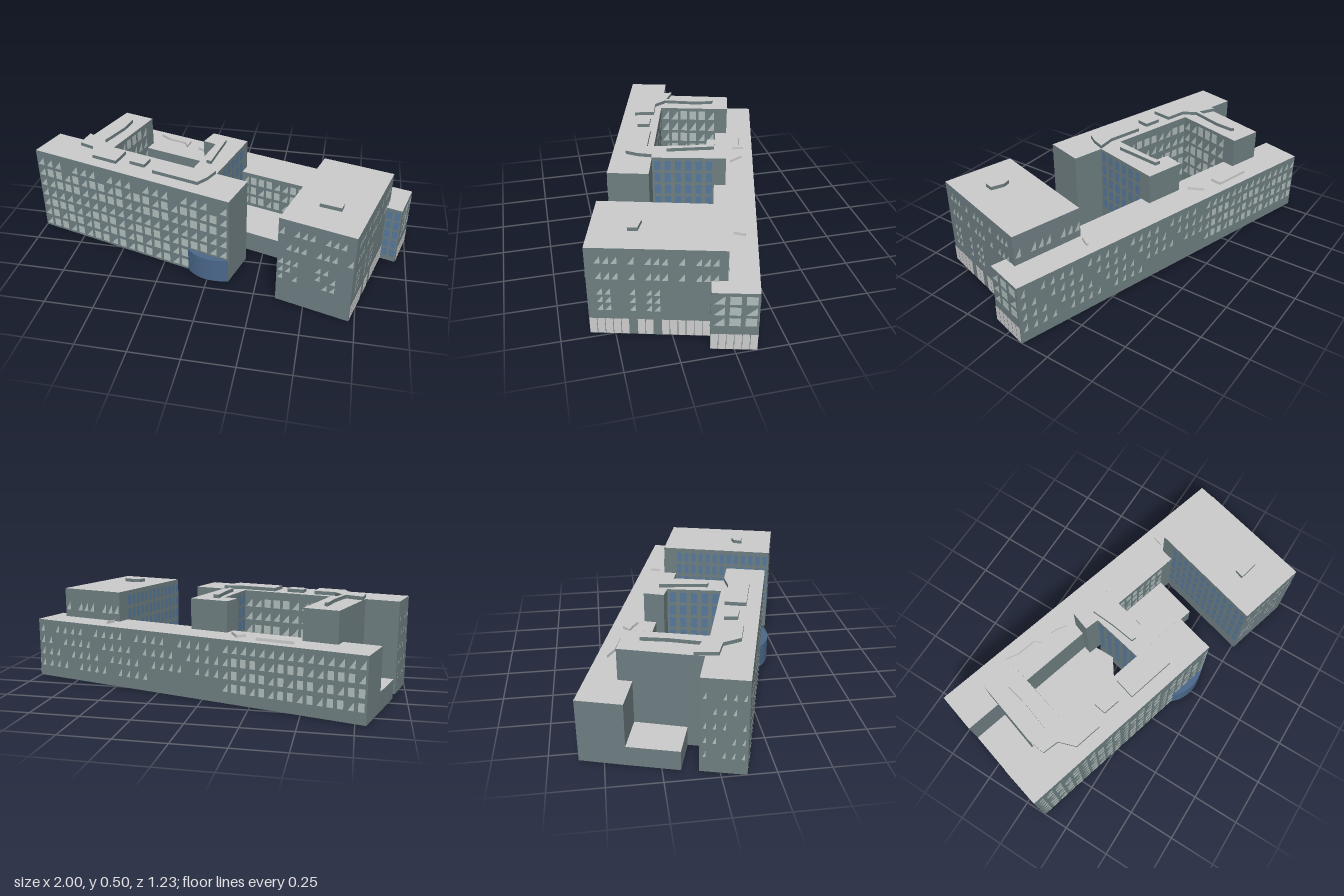
import * as THREE from 'three';

const material = (color) => new THREE.MeshStandardMaterial({ color, side: THREE.DoubleSide, flatShading: true });
const wallMat = material(0x6e7e81);
const roofMat = material(0xcccccc);
const paneMat = material(0xb0bcba);
const shopMat = material(0xcccccc);
const blueMat = material(0x55789c);
const entranceMat = material(0x4a6789);

// Plan outlines are lists of [x, z]
const planShape = (pts) => new THREE.Shape(pts.map(([x, z]) => new THREE.Vector2(x, -z)));

function add(parent, name, geometry, mat) {
  const mesh = new THREE.Mesh(geometry, mat);
  mesh.name = name;
  parent.add(mesh);
}

function prism(parent, name, pts, y0, y1, mat) {
  const g = new THREE.ExtrudeGeometry(planShape(pts), { depth: y1 - y0, bevelEnabled: false });
  add(parent, name, g.rotateX(-Math.PI / 2).translate(0, y0, 0), mat);
}

function roof(parent, name, pts, y) {
  add(parent, name, new THREE.ShapeGeometry(planShape(pts)).rotateX(-Math.PI / 2).translate(0, y, 0), roofMat);
}

function triangles(pos) {
  const g = new THREE.BufferGeometry();
  g.setAttribute('position', new THREE.Float32BufferAttribute(pos, 3));
  g.computeVertexNormals();
  return g;
}

// Upright walls along an open path, listed with the outside on the left-to-right side
function walls(parent, name, y0, y1, pts) {
  const pos = [];
  for (let i = 0; i + 1 < pts.length; i++) {
    const [[ax, az], [bx, bz]] = [pts[i], pts[i + 1]];
    pos.push(ax, y0, az, bx, y0, bz, bx, y1, bz, ax, y0, az, bx, y1, bz, ax, y1, az);
  }
  add(parent, name, triangles(pos), wallMat);
}

// Panes on a wall running from a (left) to b (right) as seen from outside.
// kind(column, row) gives 0 for none, 1 for a rectangle, 2 for a triangle.
function panes(parent, name, a, b, cols, rows, kind, mat = paneMat, fill = 0.7) {
  const dx = b[0] - a[0], dz = b[1] - a[1], len = Math.hypot(dx, dz), off = 0.003;
  const pos = [];
  rows.forEach(([y0, y1], r) => {
    for (let c = 0; c < cols; c++) {
      const k = kind(c, r);
      if (!k) continue;
      const at = (t, y) => [a[0] + dx * t - dz / len * off, y, a[1] + dz * t + dx / len * off];
      const t0 = (c + 0.5 - fill / 2) / cols, t1 = (c + 0.5 + fill / 2) / cols;
      pos.push(...at(t0, y0), ...at(t1, y0), ...at(t1, y1));
      if (k === 1) pos.push(...at(t0, y0), ...at(t1, y1), ...at(t0, y1));
    }
  });
  add(parent, name, triangles(pos), mat);
}

// Evenly spaced storeys
const storeys = (n, from, pitch, h) => Array.from({ length: n }, (_, i) => [from + i * pitch, from + i * pitch + h]);
const all = () => 1;
const mixed = (c, r) => ((c * 7 + r * 5 + c * r) % 5 < 2 ? 2 : 1);
const sparse = (c, r) => ((c * 3 + r) % 4 === 3 ? 0 : 2);

export function createModel() {
  const model = new THREE.Group();
  model.name = 'officeComplex';
  const BACK = 0.32, TALL = 0.48, LINK = 0.11, LOW = 0.1;

  // Plan outlines
  const back = [[-0.8, -0.614], [1, -0.1], [0.945, 0.105], [-0.862, -0.405]];
  const front = [[-0.945, -0.09], [0.168, 0.226], [0.11, 0.43], [-1, 0.115]];
  const tower = [[0.53, -0.085], [0.885, 0.013], [0.72, 0.613], [0.36, 0.512]];
  const legL = [[-0.66, -0.42], [-0.49, -0.37], [-0.597, 0.009], [-0.777, -0.042]];
  const legR = [[-0.1, -0.255], [0.1, -0.197], [0.003, 0.179], [-0.125, 0.143], [-0.065, -0.13], [-0.135, -0.155]];

  // Points where the tower and legs leave the back wing
  const towerL = [0.511, -0.017], towerR = [0.866, 0.083];
  const legLOut = [-0.68, -0.354], legLIn = [-0.508, -0.305];
  const legRIn = [-0.121, -0.196], legROut = [0.085, -0.138];

  // Outlines of the low links
  const terrace = [legLOut, back[3], [-0.93, -0.168], [-0.754, -0.115]];
  const link = [legROut, [0.445, -0.036], [0.375, 0.2], [0.024, 0.1]];
  const court = [legLIn, legRIn, legR[5], [-0.09, -0.143], [-0.09, -0.03], [-0.19, 0.04], [-0.55, -0.06], [-0.551, -0.153]];

  // Back wing, open to the links below their roofs
  walls(model, 'backWingWalls', 0, BACK, [towerR, back[2], back[1], back[0], back[3]]);
  walls(model, 'backWingTerraceWall', LOW, BACK, [back[3], legLOut]);
  walls(model, 'backWingCourtWall', LOW, BACK, [legLIn, legRIn]);
  walls(model, 'backWingLinkWall', LINK, BACK, [legROut, link[1]]);
  walls(model, 'backWingGapWall', 0, BACK, [link[1], towerL]);
  roof(model, 'backWingRoof', back, BACK);

  // Front wing
  walls(model, 'frontWingWalls', 0, TALL, [legL[3], front[0], front[3], front[2], front[1], legR[2]]);
  walls(model, 'frontWingCourtWall', 0, TALL, [legR[3], legL[2]]);
  roof(model, 'frontWingRoof', front, TALL);

  // Tower, its back standing above the back wing
  walls(model, 'towerWalls', 0, TALL, [towerL, tower[3], tower[2], towerR]);
  walls(model, 'towerBackWalls', BACK, TALL, [towerR, tower[1], tower[0], towerL]);
  roof(model, 'towerRoof', tower, TALL);

  // Left leg
  walls(model, 'leftLegBackWalls', BACK, TALL, [legLIn, legL[1], legL[0], legLOut]);
  walls(model, 'leftLegTerraceWall', LOW, TALL, [legLOut, terrace[3]]);
  walls(model, 'leftLegOuterWall', 0, TALL, [terrace[3], legL[3]]);
  walls(model, 'leftLegLinkWall', LOW, TALL, [court[7], legLIn]);
  walls(model, 'leftLegInnerWall', 0, TALL, [legL[2], court[7]]);
  roof(model, 'leftLegRoof', legL, TALL);

  // Right leg
  walls(model, 'rightLegBackWalls', BACK, TALL, [legROut, legR[1], legR[0], legRIn]);
  walls(model, 'rightLegNotchWalls', LOW, TALL, [legRIn, legR[5], legR[4]]);
  walls(model, 'rightLegInnerWall', 0, TALL, [legR[4], legR[3]]);
  walls(model, 'rightLegLinkWall', LINK, TALL, [link[3], legROut]);
  walls(model, 'rightLegOuterWall', 0, TALL, [legR[2], link[3]]);
  roof(model, 'rightLegRoof', legR, TALL);

  // Low links
  walls(model, 'terraceWalls', 0, LOW, terrace.slice(1));
  roof(model, 'terraceRoof', terrace, LOW);
  walls(model, 'middleLinkWalls', 0, LINK, link.slice(1));
  roof(model, 'middleLinkRoof', link, LINK);
  walls(model, 'courtyardLinkWalls', 0, LOW, court.slice(3));
  roof(model, 'courtyardLinkRoof', court, LOW);

  // Curved entrance
  const arc = new THREE.QuadraticBezierCurve(
    new THREE.Vector2(-0.115, 0.366), new THREE.Vector2(-0.03, 0.465), new THREE.Vector2(0.108, 0.43));
  prism(model, 'entranceBay', arc.getPoints(10).map((p) => [p.x, p.y]), 0, 0.13, entranceMat);

  // Rooftop plant covers
  const covers = [
    [[-0.78, 0.02], [-0.765, -0.09], [-0.66, -0.03], [-0.62, 0.04], [-0.51, 0.07], [-0.53, 0.18], [-0.67, 0.14], [-0.7, 0.05]],
    [[-0.45, 0.1], [-0.36, 0.125], [-0.375, 0.19], [-0.46, 0.165]],
    [[-0.29, 0.13], [-0.1, 0.185], [0, 0.18], [-0.03, 0.25], [-0.07, 0.305], [-0.32, 0.235]],
    [[0.535, 0.385], [0.55, 0.34], [0.59, 0.335], [0.65, 0.365], [0.64, 0.41]],
    [[-0.6, -0.31], [-0.585, -0.3], [-0.6, -0.2], [-0.67, 0.0], [-0.685, -0.02], [-0.63, -0.18]],
    [[-0.04, -0.17], [-0.01, -0.16], [-0.03, -0.02], [-0.045, 0.09], [-0.07, 0.08], [-0.05, -0.05]],
  ];
  covers.forEach((pts, i) => {
    prism(model, 'roofCover' + (i + 1), pts, TALL, 0.498, wallMat);
    roof(model, 'roofCoverTop' + (i + 1), pts, 0.499);
  });
  const ridges = [
    [[-0.46, -0.46], [-0.27, -0.41], [-0.28, -0.35], [-0.3, -0.39], [-0.4, -0.42]],
    [[-0.21, -0.34], [-0.17, -0.37], [-0.13, -0.29], [-0.17, -0.32]],
    [[0.55, -0.11], [0.57, -0.165], [0.58, -0.16]],
  ];
  ridges.forEach((pts, i) => prism(model, 'roofRidge' + (i + 1), pts, BACK, 0.335, roofMat));

  // Front wing windows
  panes(model, 'frontWindows', front[3], front[2], 21, storeys(7, 0.015, 0.064, 0.046),
    (c, r) => (c > 16 && r < 2 ? 0 : r === 6 ? sparse(c, r) : mixed(c, r)));
  panes(model, 'frontWingLeftWindows', front[0], front[3], 5, storeys(5, 0.08, 0.075, 0.035), sparse, paneMat, 0.35);
  panes(model, 'courtFrontWindows', legR[3], legL[2], 9, storeys(5, 0.1, 0.073, 0.045), mixed);

  // Tower windows
  const upper = [[0.14, 0.175], [0.185, 0.22], [0.23, 0.265], [0.315, 0.355], [0.4, 0.44]];
  panes(model, 'towerFrontWindows', tower[3], tower[2], 10, upper, (c, r) => (r < 3 && c % 5 > 2 ? 0 : sparse(c, r)));
  panes(model, 'towerRightWindows', tower[2], tower[1], 17, upper,
    (c, r) => (c % 6 === 0 || c % 6 === 4 || (r < 3 && (c > 10 || c % 6 === 3)) ? 0 : 2), paneMat, 0.75);
  panes(model, 'towerShopfront', tower[2], towerR, 15, [[0.004, 0.092]], (c) => (c === 5 || c === 8 ? 0 : 1), shopMat, 0.92);
  panes(model, 'towerBackWindows', tower[1], tower[0], 9, [[0.36, 0.41]], sparse);
  panes(model, 'towerLeftWindows', towerL, tower[3], 13, storeys(5, 0.1, 0.075, 0.055), all, blueMat, 0.6);

  // Back wing windows
  const tall = storeys(4, 0.06, 0.065, 0.042), mid = [-0.1, -0.414];
  panes(model, 'backWindowsLeft', mid, back[0], 15, tall, mixed, paneMat, 0.6);
  panes(model, 'backWindowsRight', back[1], mid, 22, tall,
    (c, r) => ((c + r) % 5 === 4 || (c > 14 && r < 1) ? 0 : 2), paneMat, 0.45);
  panes(model, 'rightEndWindows', back[2], back[1], 3, storeys(3, 0.14, 0.06, 0.045), mixed);
  panes(model, 'rightEndShopfront', back[2], back[1], 6, [[0.004, 0.092]], all, shopMat, 0.92);
  panes(model, 'rightCornerWindows', towerR, back[2], 2, storeys(5, 0.03, 0.057, 0.045), all, blueMat);
  panes(model, 'linkBackWindows', legROut, link[1], 8, storeys(3, 0.13, 0.062, 0.045), mixed);

  // Leg windows facing the courts
  const high = storeys(5, 0.12, 0.072, 0.055);
  panes(model, 'rightLegOuterWindows', legR[2], legROut, 6, high, all, blueMat, 0.6);
  panes(model, 'rightLegInnerWindows', legR[4], legR[3], 5, high, all, blueMat, 0.6);
  panes(model, 'leftLegInnerWindows', legL[2], legLIn, 6, high, mixed);
  return model;
}
